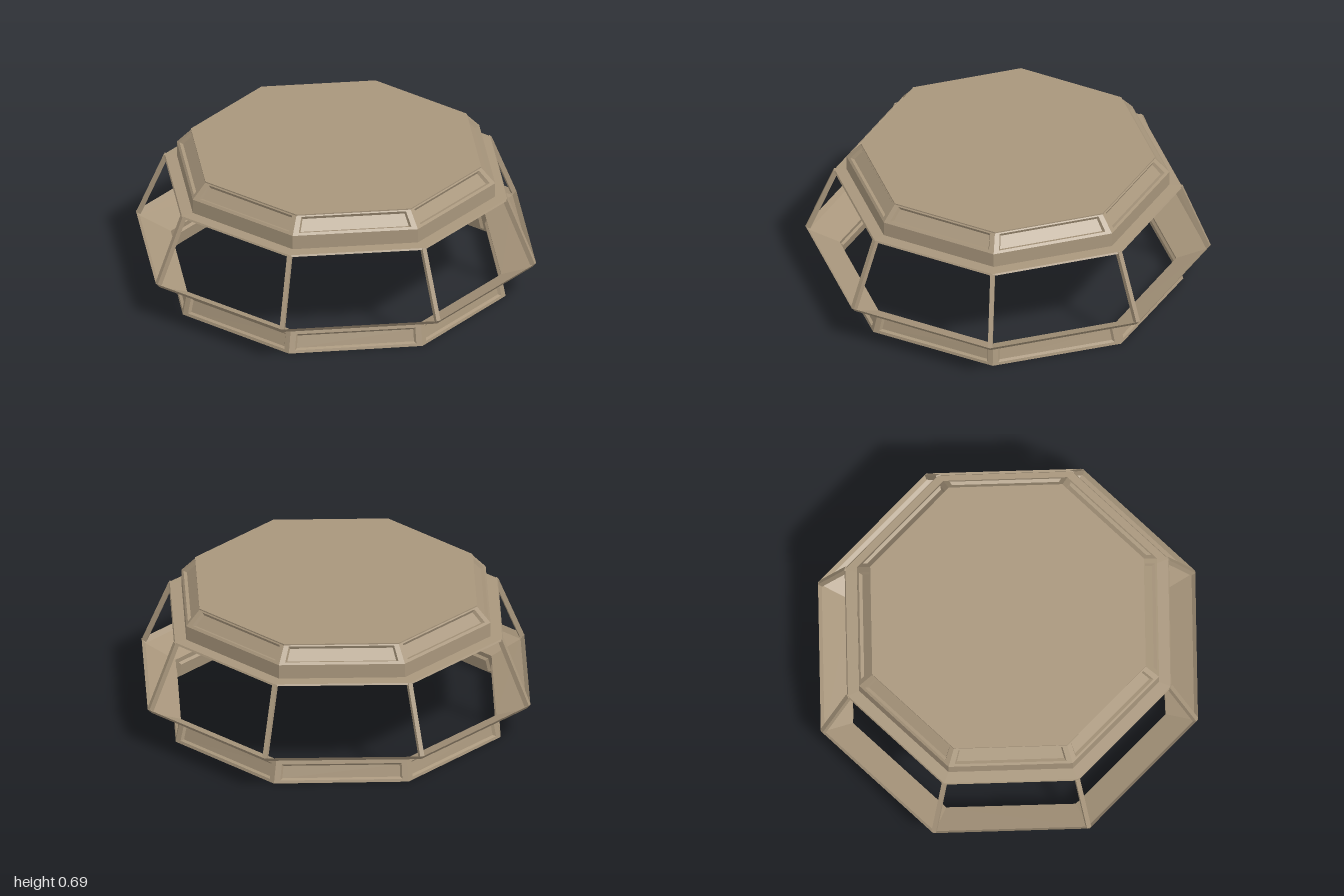
import * as THREE from 'three';

const SIDES = 8;

export function createModel() {
  const model = new THREE.Group();
  const material = new THREE.MeshStandardMaterial({
    color: 0xa8967c, flatShading: true, side: THREE.DoubleSide,
  });

  // Corner k of an octagonal ring given as [radius, height, depth scale]
  const corner = ([r, y, depth = 0.98], k) => {
    const a = (k * Math.PI * 2) / SIDES;
    return new THREE.Vector3(r * Math.sin(a), y, r * Math.cos(a) * depth);
  };

  const quad = (out, a, b, c, d) => {
    for (const p of [a, b, c, a, c, d]) out.push(p.x, p.y, p.z);
  };

  const addMesh = (name, positions) => {
    const geometry = new THREE.BufferGeometry();
    geometry.setAttribute('position', new THREE.Float32BufferAttribute(positions, 3));
    geometry.computeVertexNormals();
    const mesh = new THREE.Mesh(geometry, material);
    mesh.name = name;
    model.add(mesh);
  };

  // Plain faceted band through a profile listed from bottom to top
  const addBand = (name, profile) => {
    const out = [];
    for (let i = 0; i < profile.length - 1; i++) {
      for (let k = 0; k < SIDES; k++) {
        quad(out, corner(profile[i], k), corner(profile[i], k + 1),
          corner(profile[i + 1], k + 1), corner(profile[i + 1], k));
      }
    }
    addMesh(name, out);
  };

  // Band whose every side holds a recessed panel with a bevelled edge
  const addPanelBand = (name, low, high, side, bottom, top, bevel, depth) => {
    const out = [];
    for (let k = 0; k < SIDES; k++) {
      const [a, b, c, d] = [corner(low, k), corner(low, k + 1), corner(high, k + 1), corner(high, k)];
      const inward = b.clone().sub(a).cross(d.clone().sub(a)).normalize().multiplyScalar(-depth);
      const at = (u, v) => a.clone().lerp(b, u).lerp(d.clone().lerp(c, u), v);
      const rect = (u, v0, v1) => [at(u, v0), at(1 - u, v0), at(1 - u, v1), at(u, v1)];
      const outer = [a, b, c, d];
      const rim = rect(side, bottom, 1 - top);
      const floor = rect(side + bevel, bottom + bevel * 5, 1 - top - bevel * 5);
      floor.forEach((p) => p.add(inward));
      for (let i = 0; i < 4; i++) {
        const j = (i + 1) % 4;
        quad(out, outer[i], outer[j], rim[j], rim[i]);
        quad(out, rim[i], rim[j], floor[j], floor[i]);
      }
      quad(out, ...floor);
    }
    addMesh(name, out);
  };

  // Panelled base and flared window sill
  addPanelBand('basePanels', [0.847, 0, 1], [0.825, 0.115, 0.985], 0.045, 0.12, 0.22, 0.015, 0.012);
  addBand('windowSill', [[0.825, 0.115, 0.985], [0.98, 0.177], [1, 0.2]]);

  // Flat rail above the windows and upright wall below the roof
  addBand('windowHeadRail', [[0.86, 0.524], [0.855, 0.532], [0.795, 0.535]]);
  addBand('roofWall', [[0.795, 0.535], [0.795, 0.607]]);

  // Sloped panelled roof edge and flat roof
  addPanelBand('roofPanels', [0.795, 0.607], [0.725, 0.682], 0.045, 0.14, 0.07, 0.015, 0.015);
  addBand('roofRim', [[0.725, 0.682], [0.725, 0.688]]);
  const roof = [];
  for (let k = 0; k < SIDES; k++) {
    for (const p of [corner([0.725, 0.688], k), corner([0.725, 0.688], k + 1), new THREE.Vector3(0, 0.688, 0)]) {
      roof.push(p.x, p.y, p.z);
    }
  }
  addMesh('roof', roof);

  // Leaning window posts, one at each corner
  const posts = new THREE.Group();
  posts.name = 'windowPosts';
  for (let k = 0; k < SIDES; k++) {
    const foot = corner([0.985, 0.195], k);
    const head = corner([0.847, 0.528], k);
    const post = new THREE.Mesh(new THREE.BoxGeometry(0.022, foot.distanceTo(head), 0.024), material);
    const up = head.clone().sub(foot).normalize();
    const across = new THREE.Vector3(foot.z, 0, -foot.x).normalize();
    const out = across.clone().cross(up);
    post.quaternion.setFromRotationMatrix(new THREE.Matrix4().makeBasis(across, up, out));
    post.position.copy(foot).add(head).multiplyScalar(0.5);
    post.name = 'windowPost';
    posts.add(post);
  }
  model.add(posts);

  return model;
}
